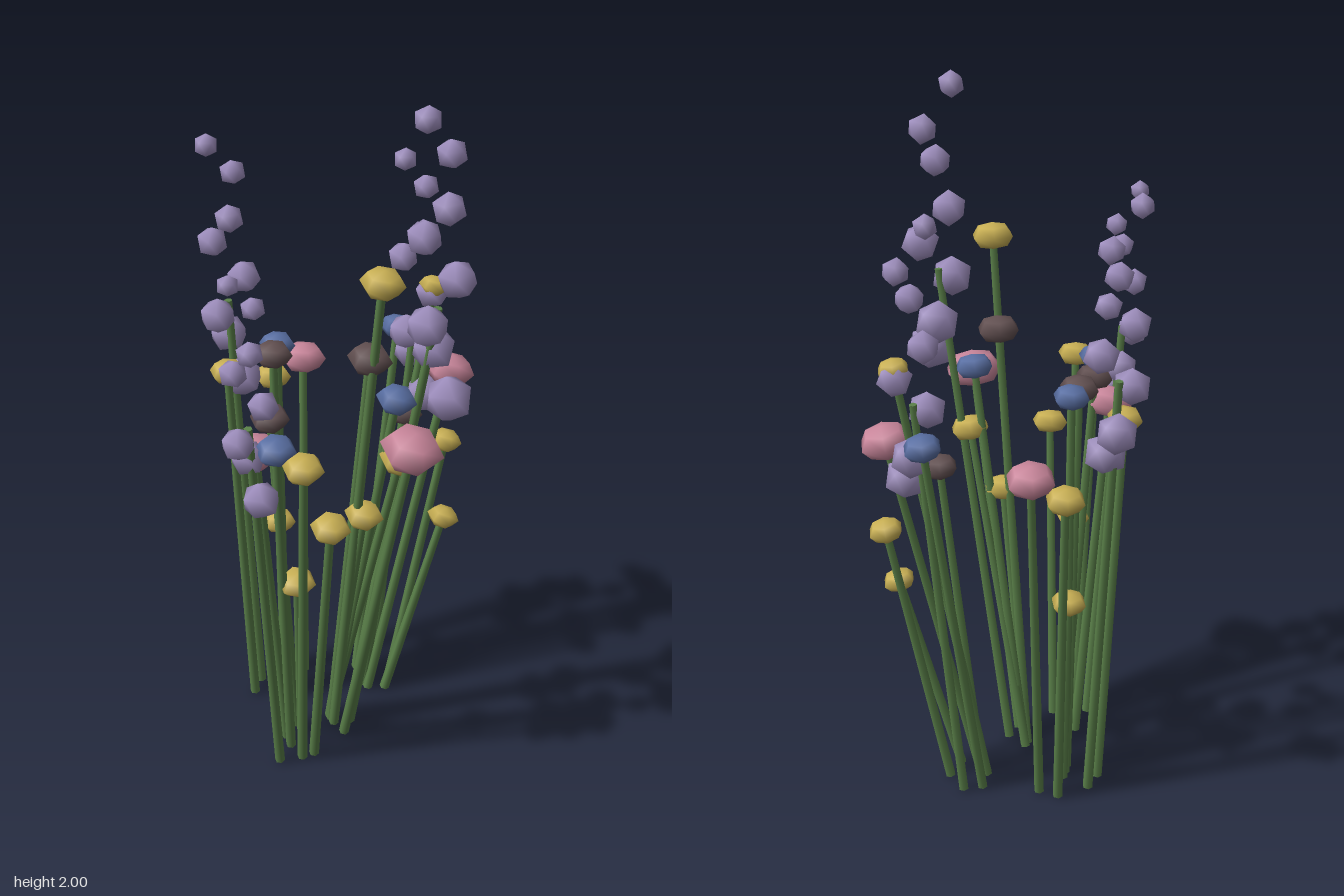
import * as THREE from 'three';
import { mergeVertices } from 'three/addons/utils/BufferGeometryUtils.js';

const mat = (name, color) => {
  const m = new THREE.MeshStandardMaterial({ color });
  m.name = name;
  return m;
};
const green = mat('stem green', 0x5a8049);
const purple = mat('lavender', 0xa191c1);
const petals = {
  yellow: mat('yellow', 0xc9b054),
  pink: mat('pink', 0xc9869b),
  blue: mat('blue', 0x596fa3),
  dark: mat('dark brown', 0x625051),
};

// flattened six-sided head, corners pointing along z
const headGeo = new THREE.SphereGeometry(1, 6, 4).rotateY(Math.PI / 2);

// smooth low-poly blossom with a corner pointing up
function blossomGeometry() {
  const g = new THREE.IcosahedronGeometry(1, 0);
  g.rotateZ(Math.atan(2 / (1 + Math.sqrt(5))));
  g.deleteAttribute('normal');
  g.deleteAttribute('uv');
  const merged = mergeVertices(g, 1e-3);
  merged.computeVertexNormals();
  return merged;
}
const blossomGeo = blossomGeometry();

const UP = new THREE.Vector3(0, 1, 0);

function mesh(name, geo, material, pos) {
  const m = new THREE.Mesh(geo, material);
  m.name = name;
  m.position.copy(pos);
  return m;
}

// tapered stem between two points; returns its direction as a rotation
function addStem(group, base, top) {
  const dir = top.clone().sub(base);
  const len = dir.length();
  const stem = mesh('stem', new THREE.CylinderGeometry(0.0115, 0.015, len, 6), green,
    base.clone().add(top).multiplyScalar(0.5));
  stem.quaternion.setFromUnitVectors(UP, dir.normalize());
  group.add(stem);
  return stem.quaternion;
}

// one stem carrying a flat flower head
function addFlower(group, [color, x, y, z, r, bx, bz]) {
  const flower = new THREE.Group();
  flower.name = color + 'Flower';
  const top = new THREE.Vector3(x, y, z);
  const q = addStem(flower, new THREE.Vector3(bx, 0, bz), top);
  const head = mesh('flowerHead', headGeo, petals[color], top);
  head.scale.set(r, r * 0.62, r);
  head.quaternion.copy(q);
  flower.add(head);
  group.add(flower);
}

// one stem with eight blossoms spiralling upwards, shrinking to the tip
function addSpire(group, { x, z, y, step, spread, size, bx, bz }) {
  const spire = new THREE.Group();
  spire.name = 'flowerSpire';
  addStem(spire, new THREE.Vector3(bx, 0, bz), new THREE.Vector3(x, y + step * 2.3, z));
  for (let i = 0; i < 8; i++) {
    const a = i * 2.4;
    const b = mesh('blossom', blossomGeo, purple, new THREE.Vector3(
      x + spread * Math.cos(a), y + step * i, z - spread * Math.sin(a)));
    b.scale.setScalar(size * (1 - 0.065 * i));
    b.rotation.set(0.1, a, 0.1);
    spire.add(b);
  }
  group.add(spire);
}

// flowers: colour, head x, y, z, head radius, stem base x, z
const clumps = {
  backClump: {
    spire: { x: 0.015, z: -0.372, y: 1.006, step: 0.1007, spread: 0.045, size: 0.061, bx: -0.045, bz: -0.285 },
    flowers: [
      ['blue', -0.077, 1.16, -0.407, 0.053, -0.07, -0.235],
      ['pink', 0.125, 1.097, -0.395, 0.073, 0.02, -0.185],
      ['yellow', 0.163, 0.632, -0.348, 0.048, 0.06, -0.22],
      ['yellow', 0.105, 0.842, -0.418, 0.05, 0.03, -0.28],
      ['yellow', 0.052, 1.332, -0.405, 0.044, -0.03, -0.19],
      ['dark', 0.076, 0.998, -0.258, 0.052, 0.0, -0.19],
    ],
  },
  rightClump: {
    spire: { x: -0.33, z: 0.026, y: 1.097, step: 0.097, spread: 0.046, size: 0.06, bx: -0.255, bz: 0.01 },
    flowers: [
      ['pink', -0.257, 1.078, -0.198, 0.068, -0.185, -0.115],
      ['yellow', -0.315, 1.022, -0.13, 0.055, -0.235, -0.085],
      ['yellow', -0.2, 0.617, -0.025, 0.051, -0.175, -0.02],
      ['yellow', -0.252, 1.162, 0.115, 0.05, -0.23, 0.065],
      ['blue', -0.174, 1.227, -0.003, 0.051, -0.16, 0.0],
      ['dark', -0.143, 1.227, 0.047, 0.055, -0.14, 0.02],
    ],
  },
  leftClump: {
    spire: { x: 0.302, z: -0.096, y: 1.216, step: 0.107, spread: 0.047, size: 0.067, bx: 0.08, bz: -0.03 },
    flowers: [
      ['pink', 0.34, 1.119, 0.04, 0.086, 0.1, 0.02],
      ['yellow', 0.224, 1.552, 0.032, 0.06, 0.05, 0.01],
      ['yellow', 0.228, 0.998, -0.052, 0.058, 0.01, -0.02],
      ['yellow', 0.157, 0.817, 0.01, 0.056, 0.02, -0.005],
      ['dark', 0.164, 1.306, 0.005, 0.061, 0.03, 0.0],
      ['blue', 0.22, 1.187, -0.04, 0.056, 0.02, -0.015],
    ],
  },
  frontClump: {
    spire: { x: 0.096, z: 0.391, y: 1.047, step: 0.085, spread: 0.04, size: 0.052, bx: 0.04, bz: 0.24 },
    flowers: [
      ['yellow', 0.10, 0.677, 0.222, 0.053, 0.0, 0.1],
      ['yellow', 0.238, 0.93, 0.241, 0.055, 0.095, 0.15],
      ['yellow', 0.212, 1.137, 0.315, 0.055, 0.08, 0.185],
      ['dark', 0.007, 1.162, 0.22, 0.054, -0.03, 0.09],
      ['pink', -0.002, 1.077, 0.268, 0.068, -0.015, 0.15],
      ['blue', 0.122, 1.157, 0.32, 0.055, 0.02, 0.17],
    ],
  },
};

export function createModel() {
  const model = new THREE.Group();
  model.name = 'wildflowers';
  for (const [name, { spire, flowers }] of Object.entries(clumps)) {
    const clump = new THREE.Group();
    clump.name = name;
    addSpire(clump, spire);
    flowers.forEach((f) => addFlower(clump, f));
    model.add(clump);
  }
  return model;
}
